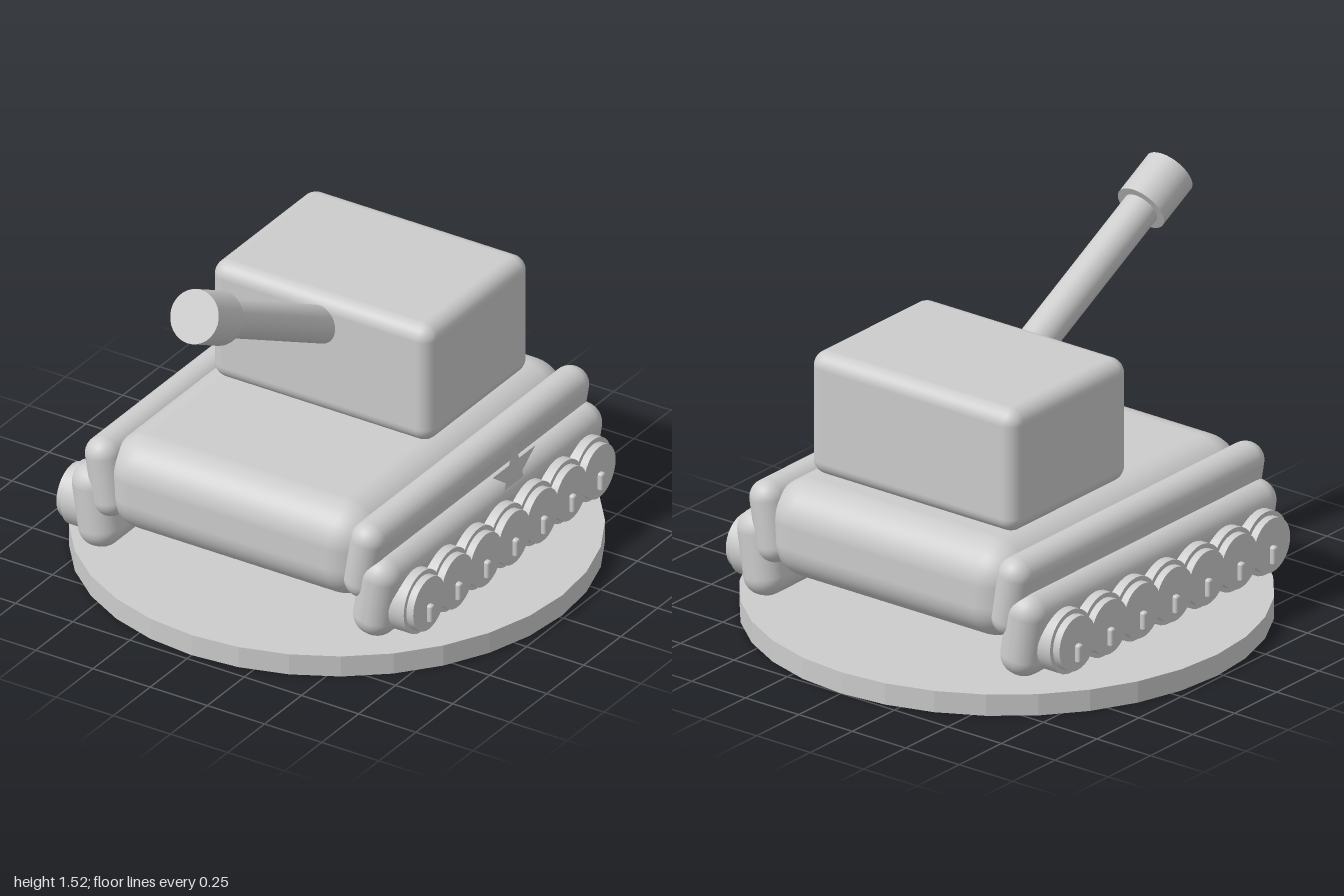
import * as THREE from 'three';
import { RoundedBoxGeometry } from 'three/addons/geometries/RoundedBoxGeometry.js';

export function createModel() {
  const model = new THREE.Group();
  model.name = 'toyTank';

  const grey = new THREE.MeshStandardMaterial({ color: 0xcccccc });
  grey.name = 'plainGrey';
  const greyFaceted = new THREE.MeshStandardMaterial({ color: 0xcccccc, flatShading: true });
  greyFaceted.name = 'plainGreyFaceted';
  const greySheet = new THREE.MeshStandardMaterial({ color: 0xcccccc, side: THREE.DoubleSide });
  greySheet.name = 'plainGreySheet';

  function add(name, geometry, x, y, z, material = grey, parent = model) {
    const mesh = new THREE.Mesh(geometry, material);
    mesh.name = name;
    mesh.position.set(x, y, z);
    parent.add(mesh);
    return mesh;
  }

  // Round display base
  add('base', new THREE.CylinderGeometry(0.985, 0.985, 0.085, 32), 0, 0.0425, -0.015, greyFaceted);

  // Hull and turret
  add('hull', new RoundedBoxGeometry(1.16, 0.385, 1.49, 6, 0.15), 0, 0.4225, -0.018);
  add('turret', new RoundedBoxGeometry(0.965, 0.49, 0.695, 5, 0.06), 0, 0.855, -0.24);

  // Raised gun: the group's y axis runs along the barrel
  const gun = new THREE.Group();
  gun.name = 'gun';
  gun.position.set(0, 0.93, 0);
  gun.rotation.x = Math.atan2(0.95, 0.495);
  model.add(gun);
  add('barrel', new THREE.CylinderGeometry(0.071, 0.071, 0.95, 32), 0, 0.475, 0, grey, gun);
  add('muzzle', new THREE.CylinderGeometry(0.102, 0.102, 0.19, 32), 0, 0.976, 0, grey, gun);

  // Running gear, mirrored on both sides
  const fenderGeo = new RoundedBoxGeometry(0.141, 0.32, 1.495, 6, 0.07);
  const trackGeo = new RoundedBoxGeometry(0.17, 0.336, 1.495, 6, 0.08);
  const wheelGeo = new THREE.CylinderGeometry(0.125, 0.125, 0.15, 32).rotateZ(Math.PI / 2);
  const hubGeo = new THREE.CylinderGeometry(0.107, 0.107, 0.06, 32).rotateZ(Math.PI / 2);
  const knobGeo = new RoundedBoxGeometry(0.06, 0.075, 0.028, 3, 0.01);
  for (const s of [1, -1]) {
    const side = new THREE.Group();
    side.name = s > 0 ? 'leftRunningGear' : 'rightRunningGear';
    model.add(side);
    add('fender', fenderGeo, s * 0.566, 0.438, -0.015, grey, side).rotation.z = -s * 0.17;
    add('track', trackGeo, s * 0.615, 0.298, -0.015, grey, side).rotation.z = -s * 0.15;
    for (let i = 0; i < 7; i++) {
      const z = 0.57 - i * 0.1927;
      add('wheel', wheelGeo, s * 0.675, 0.268, z, grey, side);
      add('wheelHub', hubGeo, s * 0.75, 0.268, z, grey, side);
      add('wheelKnob', knobGeo, s * 0.77, 0.23, z, grey, side);
    }
  }

  // Flat star plate on the left side
  const star = new THREE.Shape();
  for (let i = 0; i < 10; i++) {
    const r = i % 2 ? 0.058 : 0.152;
    const a = Math.PI / 2 + (i * Math.PI) / 5;
    if (i) star.lineTo(r * Math.cos(a), r * Math.sin(a));
    else star.moveTo(r * Math.cos(a), r * Math.sin(a));
  }
  add('star', new THREE.ShapeGeometry(star), 0.705, 0.465, -0.122, greySheet).rotation.y = Math.PI / 2;

  return model;
}
